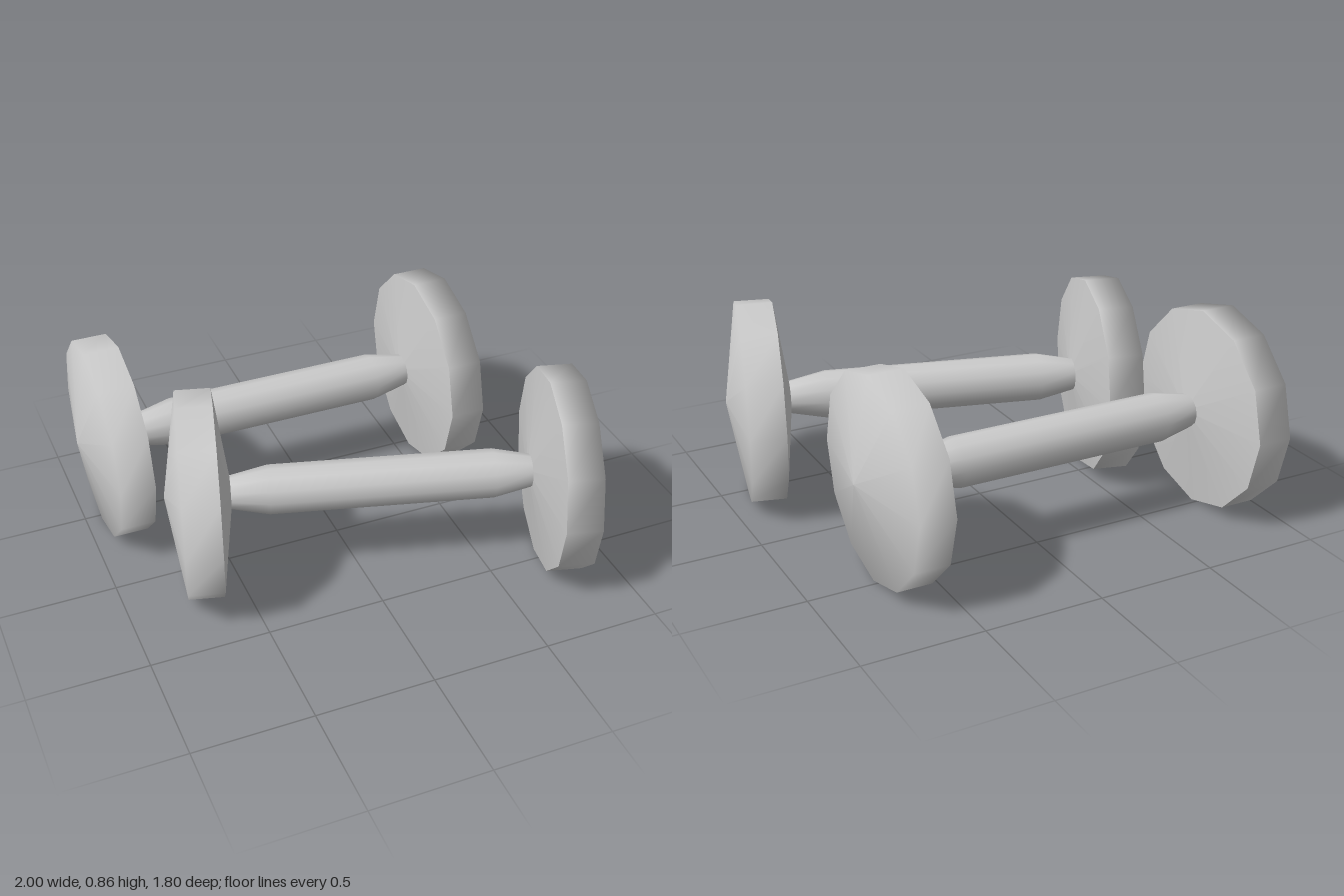
import * as THREE from 'three';

const SIDES = 12;
const R = 0.43; // weight radius
const material = new THREE.MeshStandardMaterial({ color: 0xcccccc });

// Turned part whose axis lies along x; profile holds [radius, x] pairs
function turned(name, profile) {
  const points = profile.map(([r, x]) => new THREE.Vector2(r, x));
  const geometry = new THREE.LatheGeometry(points, SIDES).rotateZ(-Math.PI / 2);
  const mesh = new THREE.Mesh(geometry, material);
  mesh.name = name;
  return mesh;
}

// Weight on the +x end: domed outside running into the rim, crisp shallow cone inside
function createWeight(name) {
  const weight = new THREE.Group();
  weight.name = name;
  weight.add(
    turned('outerDomeAndRim', [[R, 0.673], [R, 0.822], [0, 0.892]]),
    turned('innerFace', [[0, 0.612], [R, 0.673]]),
  );
  return weight;
}

function createDumbbell(name) {
  const dumbbell = new THREE.Group();
  dumbbell.name = name;

  // Handle, tapering where it enters the weights
  dumbbell.add(turned('handle', [[0.066, -0.64], [0.103, -0.465], [0.103, 0.465], [0.066, 0.64]]));

  // Matching weights at both ends
  const left = createWeight('leftWeight');
  const right = createWeight('rightWeight');
  right.rotation.y = Math.PI;
  dumbbell.add(left, right);
  return dumbbell;
}

export function createModel() {
  const model = new THREE.Group();
  model.name = 'dumbbellPair';

  const back = createDumbbell('backDumbbell');
  back.position.set(-0.108, R, -0.474);

  // Front one lies at a slight angle
  const front = createDumbbell('frontDumbbell');
  front.position.set(0.09, R, 0.263);
  front.rotation.y = -0.27;

  model.add(back, front);
  return model;
}
